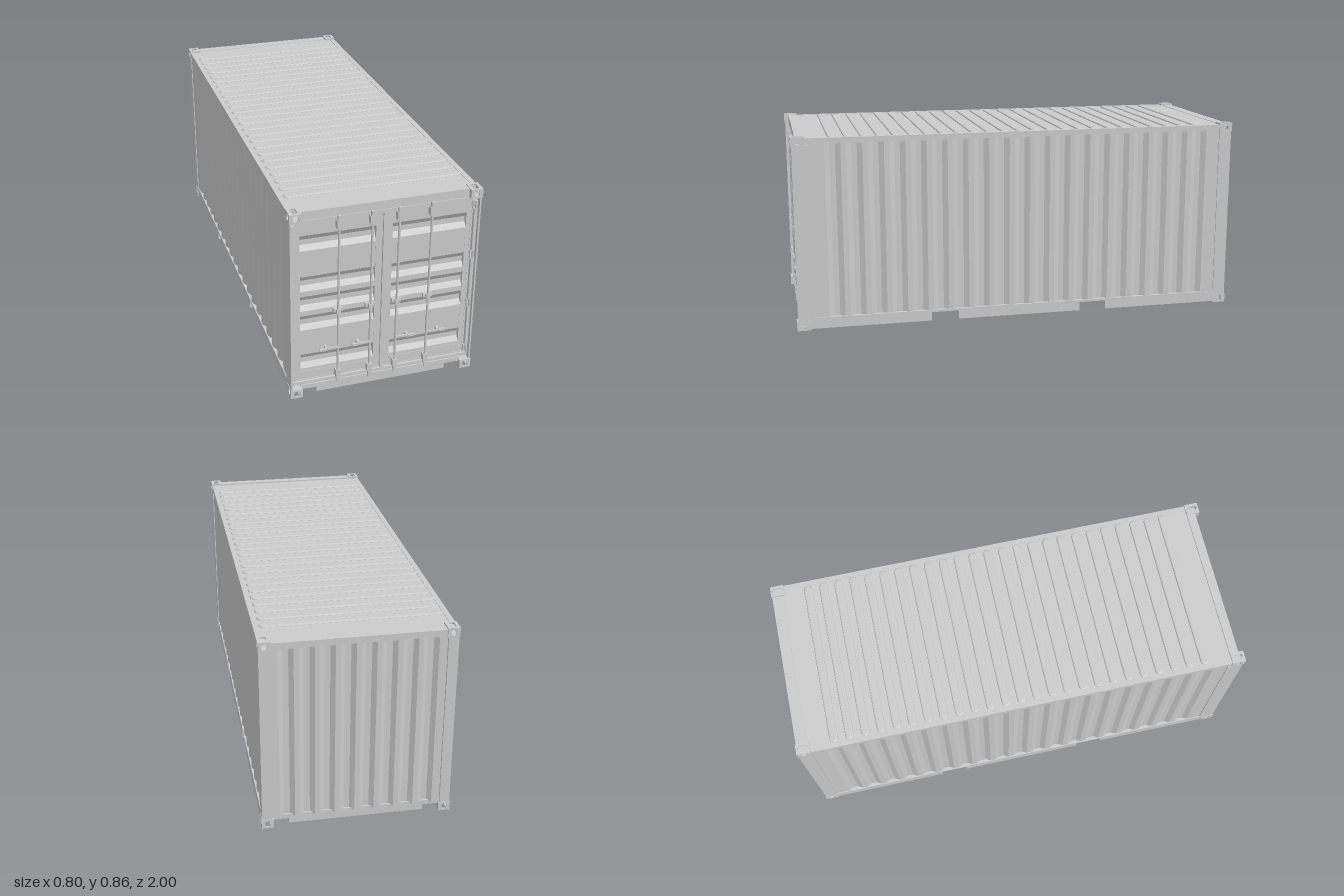
import * as THREE from 'three';

const material = new THREE.MeshStandardMaterial({ color: 0xcccccc, side: THREE.DoubleSide });

export function createModel() {
  const root = new THREE.Group();
  root.name = 'cargoContainer';

  const add = (name, geometry, parent = root) => {
    const mesh = new THREE.Mesh(geometry, material);
    mesh.name = name;
    parent.add(mesh);
    return mesh;
  };
  const group = (name) => {
    const g = new THREE.Group();
    g.name = name;
    root.add(g);
    return g;
  };
  // Box given by its limits on each axis
  const box = (name, x0, x1, y0, y1, z0, z1, parent) => {
    const g = new THREE.BoxGeometry(Math.abs(x1 - x0), Math.abs(y1 - y0), Math.abs(z1 - z0));
    g.translate((x0 + x1) / 2, (y0 + y1) / 2, (z0 + z1) / 2);
    return add(name, g, parent);
  };
  const rod = (name, x, y0, y1, z, r, parent) =>
    add(name, new THREE.CylinderGeometry(r, r, y1 - y0, 16).translate(x, (y0 + y1) / 2, z), parent);
  // Slot with round ends, long along y
  const slot = (Type, halfW, halfH) => {
    const s = new Type();
    s.absarc(0, halfH - halfW, halfW, 0, Math.PI, false);
    s.absarc(0, halfW - halfH, halfW, Math.PI, 2 * Math.PI, false);
    s.closePath();
    return s;
  };
  // Folded profile: [along, depth] points of trapezoid grooves
  const grooves = (start, end, centres, halfOuter, halfInner, depth) => [
    [start, 0],
    ...centres.flatMap((c) => [[c - halfOuter, 0], [c - halfInner, depth], [c + halfInner, depth], [c + halfOuter, 0]]),
    [end, 0],
  ];
  // Thin sheet extruded from a folded profile; toXY maps [along, depth] to the shape plane
  const sheet = (profile, toXY, length) => {
    const t = 0.002;
    const outer = profile.map(([a, d]) => new THREE.Vector2(...toXY(a, d)));
    const inner = profile.map(([a, d]) => new THREE.Vector2(...toXY(a, d + t))).reverse();
    return new THREE.ExtrudeGeometry(new THREE.Shape([...outer, ...inner]), { depth: length, bevelEnabled: false });
  };

  // Corner castings with slotted outer faces
  const plate = (w, h, hw, hh) => {
    const s = new THREE.Shape([[-w, -h], [w, -h], [w, h], [-w, h]].map((p) => new THREE.Vector2(p[0] / 2, p[1] / 2)));
    s.holes.push(slot(THREE.Path, hw, hh));
    return new THREE.ExtrudeGeometry(s, { depth: 0.006, bevelEnabled: false, curveSegments: 10 }).translate(0, 0, -0.003);
  };
  const [cw, ch, cd] = [0.05, 0.04, 0.06];
  for (const sx of [-1, 1]) for (const sz of [-1, 1]) for (const top of [0, 1]) {
    const g = group('cornerCasting');
    const sy = top ? 1 : -1;
    g.position.set(sx * (0.4 - cw / 2), top ? 0.855 - ch / 2 : ch / 2, sz * (1 - cd / 2));
    add('endPlate', plate(cw, ch, 0.011, 0.014), g).position.z = sz * (cd / 2 - 0.003);
    add('sidePlate', plate(cd, ch, 0.011, 0.014).rotateY(Math.PI / 2), g).position.x = sx * (cw / 2 - 0.003);
    add('capPlate', plate(cw, cd, 0.012, 0.023).rotateX(-Math.PI / 2), g).position.y = sy * (ch / 2 - 0.003);
    box('innerEnd', -cw / 2, cw / 2, -ch / 2, ch / 2, -sz * cd / 2, -sz * (cd / 2 - 0.004), g);
    box('innerSide', -sx * cw / 2, -sx * (cw / 2 - 0.004), -ch / 2, ch / 2, -cd / 2, cd / 2, g);
    box('innerCap', -cw / 2, cw / 2, -sy * ch / 2, -sy * (ch / 2 - 0.004), -cd / 2, cd / 2, g);
  }

  // Corner posts, long rails and corrugated side walls
  const sideCentres = Array.from({ length: 19 }, (_, i) => -0.8425 + i * 0.0925);
  const sideProfile = grooves(-0.945, 0.93, sideCentres, 0.0345, 0.012, 0.012);
  for (const s of [-1, 1]) {
    const g = group('sideAssembly');
    box('rearPost', s * 0.355, s * 0.398, 0.04, 0.815, -0.997, -0.94, g);
    box('frontPost', s * 0.37, s * 0.398, 0.04, 0.815, 0.925, 0.966, g);
    box('frontPostLip', s * 0.391, s * 0.398, 0.04, 0.815, 0.966, 0.995, g);
    box('topRail', s * 0.375, s * 0.398, 0.823, 0.848, -0.94, 0.94, g);
    box('bottomRailStrip', s * 0.385, s * 0.398, 0.045, 0.055, -0.94, 0.94, g);
    for (const [a, b] of [[-0.94, -0.406], [-0.283, 0.283], [0.406, 0.94]]) {
      box('bottomRail', s * 0.39, s * 0.398, 0.006, 0.045, a, b, g);
      box('bottomRailFlange', s * 0.375, s * 0.398, 0.006, 0.01, a, b, g);
    }
    add('sideWall', sheet(sideProfile, (a, d) => [s * (0.394 - d), -a], 0.773).rotateX(-Math.PI / 2), g).position.y = 0.053;
  }

  // Corrugated rear wall
  const rearCentres = Array.from({ length: 8 }, (_, i) => (i - 3.5) * 0.083);
  const rearProfile = grooves(-0.36, 0.36, rearCentres, 0.031, 0.012, 0.014);
  add('rearWall', sheet(rearProfile, (a, d) => [a, 0.988 - d], 0.785).rotateX(-Math.PI / 2)).position.y = 0.04;

  // End headers and sills; sills are cut away beside the castings
  box('rearHeader', -0.352, 0.352, 0.82, 0.848, -0.997, -0.95);
  box('frontHeader', -0.352, 0.352, 0.815, 0.852, 0.94, 0.979);
  for (const s of [-1, 1]) {
    const [z0, z1] = [s * 0.945, s * 0.982];
    box('sill', -0.352, 0.352, 0.027, 0.047, z0, z1);
    box('sillLower', -0.285, 0.285, 0.004, 0.027, z0, z1);
    for (const x of [-1, 1]) box('sillRecess', x * 0.285, x * 0.352, 0.006, 0.027, s * 0.945, s * 0.95);
  }

  // Roof with round-ended raised ribs
  box('roof', -0.39, 0.39, 0.84, 0.846, -0.99, 0.945);
  const ribGeometry = new THREE.ExtrudeGeometry(slot(THREE.Shape, 0.0125, 0.369), {
    depth: 0.001, bevelThickness: 0.005, bevelSize: 0.006, bevelSegments: 2, curveSegments: 8,
  }).rotateZ(Math.PI / 2).rotateX(-Math.PI / 2);
  const roofRibs = group('roofRibs');
  for (let i = 0; i < 25; i++) add('roofRib', ribGeometry, roofRibs).position.set(0, 0.846, -0.833 + i * 0.069);

  // Floor, fork pockets and channel-shaped cross members
  box('floor', -0.39, 0.39, 0.047, 0.055, -0.95, 0.95);
  const underframe = group('underframe');
  for (const z of [-0.3445, 0.3445]) {
    box('forkPocketRoof', -0.39, 0.39, 0.043, 0.047, z - 0.0615, z + 0.0615, underframe);
    for (const s of [-1, 1]) box('forkPocketSide', -0.39, 0.39, 0.006, 0.047, z + s * 0.0615, z + s * 0.0655, underframe);
  }
  const beams = [-0.81, -0.72, -0.63, -0.54, -0.46, -0.19, -0.095, 0, 0.095, 0.19, 0.46, 0.55, 0.64, 0.73, 0.82, 0.9];
  for (const z of beams) {
    box('crossMemberWeb', -0.39, 0.39, 0.01, 0.047, z - 0.002, z + 0.002, underframe);
    box('crossMemberFlange', -0.39, 0.39, 0.008, 0.012, z - 0.002, z + 0.018, underframe);
  }

  // Doors: flush frame around a grooved panel
  const doorCentres = [0.1515, 0.3365, 0.4275, 0.519, 0.704];
  const doorProfile = grooves(0.104, 0.752, doorCentres, 0.034, 0.0115, 0.014);
  for (const s of [-1, 1]) {
    const g = group(s > 0 ? 'leftDoor' : 'rightDoor');
    const [z0, z1] = [0.945, 0.965];
    box('innerStile', s * 0.004, s * 0.035, 0.06, 0.8, z0, z1, g);
    box('outerStile', s * 0.35, s * 0.375, 0.06, 0.8, z0, z1, g);
    box('topFrame', s * 0.035, s * 0.35, 0.752, 0.8, z0, z1 + 0.001, g);
    box('bottomFrame', s * 0.035, s * 0.35, 0.06, 0.104, z0, z1 + 0.001, g);
    const panel = sheet(doorProfile, (a, d) => [d - 0.964, a], 0.315).rotateY(Math.PI / 2);
    add('doorPanel', panel, g).position.x = s > 0 ? 0.035 : -0.35;

    // Side seals between four hinges
    const hinges = [0.0825, 0.3115, 0.544, 0.7745];
    hinges.forEach((y, i) => {
      box('hinge', s * 0.373, s * 0.391, y - 0.018, y + 0.018, 0.96, 0.974, g);
      rod('hingePin', s * 0.386, y - 0.018, y + 0.018, 0.976, 0.005, g);
      if (i < 3) box('sideSeal', s * 0.377, s * 0.391, y + 0.02, hinges[i + 1] - 0.018, 0.96, 0.98, g);
    });

    // Locking rods with keepers, guides and handles
    for (const x of [0.0565, 0.194]) {
      const lock = group('lockingRod');
      const cx = s * x, z = 0.982;
      rod('rod', cx, 0.037, 0.815, z, 0.005, lock);
      for (const [y0, y1, k0, k1] of [[0.063, 0.097, 0.036, 0.063], [0.76, 0.795, 0.795, 0.818]]) {
        box('bearing', cx - 0.0105, cx + 0.0105, y0, y1, 0.964, 0.99, lock);
        box('keeper', cx - 0.0065, cx + 0.0065, k0, k1, 0.97, 0.99, lock);
      }
      box('guide', cx - 0.02, cx + 0.02, 0.375, 0.391, 0.964, 0.978, lock);
      box('guideClamp', cx - 0.009, cx + 0.009, 0.375, 0.391, 0.976, 0.99, lock);
      box('handleBar', cx, cx + s * 0.055, 0.208, 0.214, 0.985, 0.991, lock);
      box('handleGrip', cx + s * 0.052, cx + s * 0.08, 0.206, 0.215, 0.985, 0.995, lock);
      box('handleCatch', cx + s * 0.045, cx + s * 0.055, 0.204, 0.216, 0.964, 0.986, lock);
    }
  }

  // Seals at the centre, top and bottom of the doors
  box('centreSeal', -0.007, 0.007, 0.06, 0.8, 0.95, 0.974);
  for (const y of [0.054, 0.805]) {
    box('crossSealBacking', -0.391, 0.391, y - 0.012, y + 0.012, 0.945, 0.968);
    box('crossSeal', -0.391, 0.391, y - 0.007, y + 0.007, 0.96, 0.977);
  }

  return root;
}
